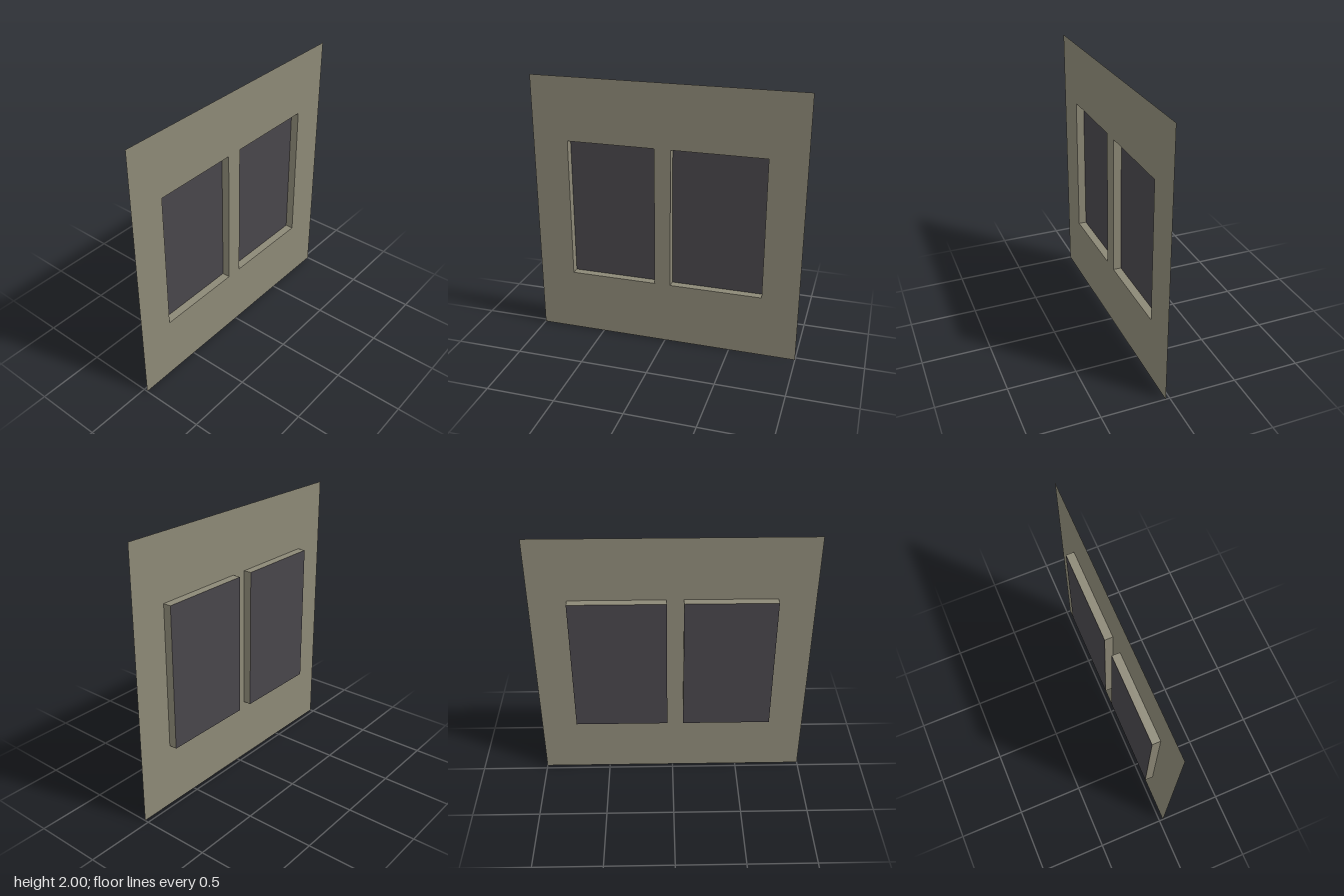
import * as THREE from 'three';

const FRONT = 0.03, BACK = -0.03, DEPTH = FRONT - BACK;
const BOTTOM = 0.475, TOP = 1.53;
const OPENINGS = [
  { name: 'rightWindow', x0: -0.735, x1: -0.08 },
  { name: 'leftWindow', x0: 0.04, x1: 0.73 },
];

const wallMaterial = new THREE.MeshStandardMaterial({ color: 0x8c8876, side: THREE.DoubleSide });
const paneMaterial = new THREE.MeshStandardMaterial({ color: 0x48454a, side: THREE.DoubleSide });

function rectangle(path, x0, y0, x1, y1) {
  path.moveTo(x0, y0);
  path.lineTo(x1, y0);
  path.lineTo(x1, y1);
  path.lineTo(x0, y1);
  path.closePath();
  return path;
}

function addPlane(parent, name, material, width, height, position, rotation = [0, 0, 0]) {
  const mesh = new THREE.Mesh(new THREE.PlaneGeometry(width, height), material);
  mesh.name = name;
  mesh.position.set(...position);
  mesh.rotation.set(...rotation);
  parent.add(mesh);
}

// Recessed window: four reveals running back from the wall to a dark pane
function createWindow({ name, x0, x1 }) {
  const group = new THREE.Group();
  group.name = name;
  const w = x1 - x0, h = TOP - BOTTOM;
  const cx = (x0 + x1) / 2, cy = (TOP + BOTTOM) / 2, cz = (FRONT + BACK) / 2;
  const q = Math.PI / 2;
  addPlane(group, 'pane', paneMaterial, w, h, [cx, cy, BACK]);
  addPlane(group, 'sill', wallMaterial, w, DEPTH, [cx, BOTTOM, cz], [-q, 0, 0]);
  addPlane(group, 'lintel', wallMaterial, w, DEPTH, [cx, TOP, cz], [q, 0, 0]);
  addPlane(group, 'rightReveal', wallMaterial, DEPTH, h, [x0, cy, cz], [0, q, 0]);
  addPlane(group, 'leftReveal', wallMaterial, DEPTH, h, [x1, cy, cz], [0, -q, 0]);
  return group;
}

export function createModel() {
  const model = new THREE.Group();
  model.name = 'windowWall';

  // Thin square wall with two openings
  const outline = rectangle(new THREE.Shape(), -1, 0, 1, 2);
  for (const { x0, x1 } of OPENINGS) {
    outline.holes.push(rectangle(new THREE.Path(), x0, BOTTOM, x1, TOP));
  }
  const wall = new THREE.Mesh(new THREE.ShapeGeometry(outline), wallMaterial);
  wall.name = 'wall';
  wall.position.z = FRONT;
  model.add(wall);

  for (const opening of OPENINGS) model.add(createWindow(opening));
  return model;
}
